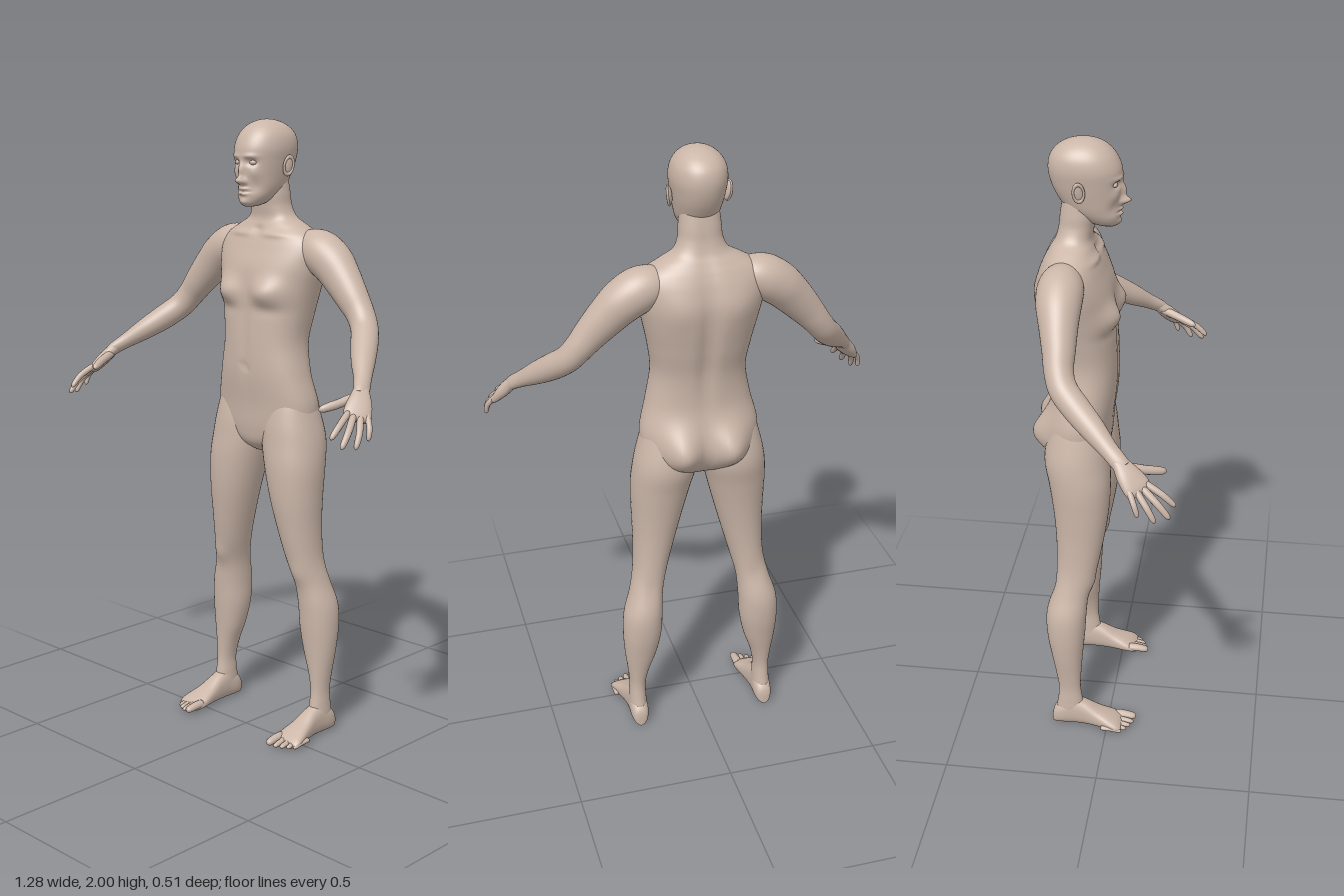
import * as THREE from 'three';

const skin = new THREE.MeshStandardMaterial({ color: 0xcbb6a8 });
skin.name = 'skin';

const X = new THREE.Vector3(1, 0, 0), Y = new THREE.Vector3(0, 1, 0), Z = new THREE.Vector3(0, 0, 1);

// Smooth in-between of the stations [x, y, z, a, b] at position s (0..1)
function sampleStations(st, s) {
  const f = s * (st.length - 1), i = Math.min(Math.floor(f), st.length - 2), t = f - i;
  const p = k => st[Math.min(Math.max(i + k, 0), st.length - 1)];
  return st[0].map((_, c) => {
    const [a, b, d, e] = [p(-1)[c], p(0)[c], p(1)[c], p(2)[c]];
    return b + 0.5 * t * (d - a + t * (2 * a - 5 * b + 4 * d - e + t * (3 * (b - d) + e - a)));
  });
}

// Skin over elliptical sections. With "v" the sections keep the fixed axes u and v,
// otherwise they turn with the path and u only gives the direction of radius a.
function sweep(st, { u, v, segs = 24, rows = 40, power = 2 }) {
  const pos = [], index = [], at = s => new THREE.Vector3(...sampleStations(st, s));
  const bend = c => Math.sign(c) * Math.abs(c) ** (2 / power);
  for (let i = 0; i <= rows; i++) {
    const s = i / rows, [x, y, z, a, b] = sampleStations(st, s);
    const t = at(Math.min(1, s + 0.01)).sub(at(Math.max(0, s - 0.01))).normalize();
    const U = u.clone();
    if (!v) U.addScaledVector(t, -u.dot(t)).normalize();
    const V = v ? v.clone() : t.clone().cross(U);
    for (let j = 0; j < segs; j++) {
      const k = j / segs * Math.PI * 2;
      const p = new THREE.Vector3(x, y, z).addScaledVector(U, a * bend(Math.cos(k))).addScaledVector(V, b * bend(Math.sin(k)));
      pos.push(p.x, p.y, p.z);
    }
  }
  for (let i = 0; i < rows; i++) for (let j = 0; j < segs; j++) {
    const a = i * segs + j, b = i * segs + (j + 1) % segs;
    index.push(a, b, a + segs, b, b + segs, a + segs);
  }
  // closed ends
  const n = (rows + 1) * segs, last = rows * segs;
  pos.push(...st[0].slice(0, 3), ...st[st.length - 1].slice(0, 3));
  for (let j = 0; j < segs; j++) {
    const k = (j + 1) % segs;
    index.push(n, k, j, n + 1, last + j, last + k);
  }
  const g = new THREE.BufferGeometry();
  g.setAttribute('position', new THREE.Float32BufferAttribute(pos, 3));
  g.setIndex(index);
  g.computeVertexNormals();
  return g;
}

// Upright form from rows [y, xInner, xOuter, zFront, zBack], listed upwards
const upright = (rows, side, opts) => sweep(
  rows.map(([y, x0, x1, f, b]) => [side * (x0 + x1) / 2, y, (f + b) / 2, (f - b) / 2, (x1 - x0) / 2]),
  { u: Z, v: X, ...opts });

// Push soft, mirrored bumps [x, y, dz, widthX, widthY, face] in or out; face is 1 front, -1 back
function sculpt(g, midZ, bumps) {
  const p = g.attributes.position;
  for (let i = 0; i < p.count; i++) {
    const x = Math.abs(p.getX(i)), y = p.getY(i), z = p.getZ(i);
    let d = 0;
    for (const [bx, by, dz, sx, sy, face] of bumps) {
      const w = THREE.MathUtils.smoothstep((z - midZ) * face, 0, 0.06);
      d += w * face * dz * Math.exp(-(((x - bx) / sx) ** 2) - ((y - by) / sy) ** 2);
    }
    p.setZ(i, z + d);
  }
  g.computeVertexNormals();
  return g;
}

// Finger or toe: a tapering tube with a round tip
function digit(points, r, u, flat = 1) {
  const c = new THREE.CatmullRomCurve3(points.map(p => new THREE.Vector3(...p)));
  const profile = [[0, 0.95], [0.25, 1], [0.5, 0.95], [0.72, 0.9], [0.88, 0.78], [0.96, 0.5], [1, 0.04]];
  return sweep(profile.map(([t, k]) => [...c.getPoint(t).toArray(), r * k, r * k * flat]), { u, segs: 12, rows: 18 });
}

export function createModel() {
  const model = new THREE.Group();
  model.name = 'figure';
  const add = (parent, name, g) => {
    const m = new THREE.Mesh(g, skin);
    m.name = name;
    parent.add(m);
    return m;
  };
  const group = name => {
    const g = new THREE.Group();
    g.name = name;
    model.add(g);
    return g;
  };

  // Torso and neck
  const torso = [
    [0.94, 0.03, -0.06, -0.13], [0.97, 0.10, -0.025, -0.175], [1.02, 0.175, -0.012, -0.2], [1.1, 0.19, -0.005, -0.205],
    [1.2, 0.167, 0.008, -0.195], [1.3, 0.15, 0.01, -0.2], [1.39, 0.161, 0.006, -0.22], [1.47, 0.178, 0.0, -0.235],
    [1.54, 0.194, -0.006, -0.24], [1.6, 0.2, -0.028, -0.228], [1.64, 0.178, -0.045, -0.213], [1.67, 0.13, -0.06, -0.197],
    [1.695, 0.086, -0.068, -0.183], [1.73, 0.068, -0.064, -0.173], [1.77, 0.064, -0.058, -0.168], [1.82, 0.058, -0.06, -0.16],
  ].map(([y, w, f, b]) => [y, -w, w, f, b]);
  add(model, 'torso', sculpt(upright(torso, 1, { segs: 72, rows: 110, power: 2.3 }), -0.11, [
    [0.085, 1.465, 0.032, 0.055, 0.042, 1],   // chest
    [0.085, 1.41, -0.006, 0.05, 0.018, 1],    // fold below the chest
    [0, 1.32, -0.006, 0.014, 0.14, 1],        // midline
    [0, 1.225, -0.008, 0.009, 0.009, 1],      // navel
    [0.07, 1.645, 0.007, 0.05, 0.01, 1],      // collar bone
    [0, 1.655, -0.01, 0.016, 0.014, 1],       // throat hollow
    [0, 1.42, -0.016, 0.025, 0.22, -1],       // spine groove
    [0.09, 1.54, 0.008, 0.05, 0.07, -1],      // shoulder blades
    [0.08, 1.05, 0.058, 0.062, 0.075, -1],    // buttocks
  ]));

  // Head with a sculpted face
  const head = group('head');
  const skull = [
    [1.732, 0.018, 0.0, -0.045], [1.742, 0.036, 0.008, -0.075], [1.762, 0.052, 0.014, -0.11], [1.79, 0.064, 0.014, -0.15],
    [1.83, 0.073, 0.017, -0.178], [1.87, 0.08, 0.021, -0.195], [1.91, 0.085, 0.02, -0.202], [1.945, 0.08, 0.006, -0.196],
    [1.97, 0.066, -0.014, -0.178], [1.987, 0.046, -0.038, -0.152], [1.997, 0.022, -0.066, -0.122], [2.0, 0.003, -0.09, -0.096],
  ].map(([y, w, f, b]) => [y, -w, w, f, b]);
  add(head, 'skull', sculpt(upright(skull, 1, { segs: 128, rows: 120, power: 2.15 }), -0.05, [
    [0, 1.812, 0.028, 0.011, 0.012, 1],       // nose tip
    [0, 1.84, 0.015, 0.009, 0.024, 1],        // nose bridge
    [0.012, 1.809, 0.009, 0.007, 0.007, 1],   // nostrils
    [0.032, 1.868, -0.014, 0.016, 0.011, 1],  // eye sockets
    [0.03, 1.887, 0.005, 0.024, 0.007, 1],    // brows
    [0.045, 1.835, 0.005, 0.018, 0.016, 1],   // cheek bones
    [0.042, 1.795, -0.005, 0.016, 0.018, 1],  // cheeks
    [0, 1.787, 0.009, 0.018, 0.005, 1],       // upper lip
    [0, 1.779, -0.003, 0.022, 0.002, 1],      // mouth line
    [0, 1.771, 0.009, 0.016, 0.005, 1],       // lower lip
    [0, 1.745, 0.008, 0.02, 0.011, 1],        // chin
  ]));
  for (const s of [1, -1]) {
    const eye = add(head, 'eyelid', new THREE.SphereGeometry(1, 20, 14));
    eye.scale.set(0.013, 0.008, 0.009);
    eye.position.set(s * 0.031, 1.868, 0.001);

    // Ear: a thin shell with a raised rim
    const ear = new THREE.Group();
    ear.name = 'ear';
    ear.position.set(s * 0.087, 1.858, -0.1);
    ear.rotation.set(-0.15, s * -0.35, s * -0.15);
    head.add(ear);
    add(ear, 'earShell', new THREE.SphereGeometry(1, 16, 12)).scale.set(0.007, 0.03, 0.017);
    const rim = add(ear, 'earRim', new THREE.TorusGeometry(0.016, 0.004, 8, 28).rotateY(Math.PI / 2));
    rim.scale.set(1, 1.7, 1);
    rim.position.x = s * 0.004;
  }

  for (const s of [1, -1]) {
    const sideName = s > 0 ? 'left' : 'right';
    const flip = ([x, ...rest]) => [s * x, ...rest];

    // Arm from inside the shoulder to the wrist
    const arm = group(sideName + 'Arm');
    add(arm, 'arm', sweep([
      [0.1, 1.605, -0.14, 0.03, 0.03], [0.14, 1.605, -0.14, 0.058, 0.056], [0.19, 1.593, -0.14, 0.07, 0.069],
      [0.24, 1.563, -0.138, 0.068, 0.068], [0.285, 1.52, -0.132, 0.059, 0.062], [0.335, 1.465, -0.124, 0.05, 0.053],
      [0.375, 1.417, -0.118, 0.044, 0.045], [0.408, 1.375, -0.1, 0.043, 0.042], [0.445, 1.335, -0.056, 0.042, 0.041],
      [0.485, 1.295, -0.004, 0.037, 0.035], [0.525, 1.257, 0.045, 0.028, 0.025], [0.55, 1.232, 0.078, 0.026, 0.02],
      [0.56, 1.218, 0.093, 0.024, 0.016],
    ].map(flip), { u: Z, segs: 36, rows: 72 }));

    // Hand
    const hand = group(sideName + 'Hand');
    const spread = new THREE.Vector3(s * 0.5, 0, -0.87);
    add(hand, 'palm', sweep([
      [0.545, 1.238, 0.07, 0.02, 0.016], [0.557, 1.22, 0.09, 0.028, 0.019], [0.57, 1.198, 0.11, 0.037, 0.02],
      [0.581, 1.177, 0.13, 0.042, 0.017], [0.588, 1.163, 0.142, 0.041, 0.013], [0.592, 1.155, 0.149, 0.034, 0.006],
    ].map(flip), { u: spread, segs: 28, rows: 24, power: 2.4 }));
    const fingers = [
      ['indexFinger', [0.569, 1.176, 0.16], [0.58, 1.147, 0.21], [0.58, 1.112, 0.248], 0.0105],
      ['middleFinger', [0.58, 1.17, 0.148], [0.603, 1.13, 0.197], [0.609, 1.086, 0.234], 0.011],
      ['ringFinger', [0.592, 1.168, 0.132], [0.62, 1.125, 0.168], [0.627, 1.081, 0.193], 0.0105],
      ['littleFinger', [0.603, 1.17, 0.115], [0.628, 1.135, 0.133], [0.633, 1.1, 0.144], 0.009],
      ['thumb', [0.55, 1.215, 0.095], [0.53, 1.198, 0.155], [0.502, 1.182, 0.213], 0.0145],
    ];
    for (const [name, a, b, c, r] of fingers) add(hand, name, digit([a, b, c].map(flip), r, spread));

    // Leg from inside the hip to the ankle
    const leg = group(sideName + 'Leg');
    add(leg, 'leg', sculpt(upright([
      [0.015, 0.197, 0.243, -0.1, -0.17], [0.06, 0.191, 0.249, -0.08, -0.174], [0.1, 0.192, 0.248, -0.085, -0.168],
      [0.15, 0.193, 0.246, -0.091, -0.165], [0.21, 0.18, 0.252, -0.089, -0.174], [0.28, 0.156, 0.261, -0.084, -0.188],
      [0.36, 0.139, 0.266, -0.077, -0.202], [0.44, 0.134, 0.261, -0.072, -0.204], [0.52, 0.128, 0.237, -0.064, -0.186],
      [0.6, 0.109, 0.221, -0.04, -0.173], [0.7, 0.082, 0.217, -0.02, -0.174], [0.8, 0.055, 0.219, -0.005, -0.183],
      [0.9, 0.029, 0.221, 0.0, -0.198], [0.98, 0.01, 0.214, -0.005, -0.213], [1.05, 0.012, 0.199, -0.012, -0.205],
      [1.13, 0.03, 0.175, -0.03, -0.18], [1.18, 0.06, 0.14, -0.06, -0.14],
    ], s, { segs: 40, rows: 90, power: 2.1 }), -0.11, [
      [0.175, 0.545, 0.009, 0.032, 0.035, 1], // knee cap
      [0.18, 0.54, -0.006, 0.03, 0.04, -1],   // hollow of the knee
    ]));

    // Foot with toes, rows [z, xInner, xOuter, top]
    const foot = group(sideName + 'Foot');
    add(foot, 'foot', sweep([
      [-0.187, 0.213, 0.231, 0.035], [-0.18, 0.198, 0.243, 0.06], [-0.155, 0.19, 0.25, 0.085], [-0.115, 0.19, 0.25, 0.105],
      [-0.075, 0.188, 0.252, 0.092], [-0.03, 0.182, 0.261, 0.066], [0.01, 0.175, 0.272, 0.047], [0.035, 0.175, 0.276, 0.034],
      [0.05, 0.18, 0.27, 0.022],
    ].map(([z, x0, x1, h]) => [s * (x0 + x1) / 2, h / 2, z, (x1 - x0) / 2, h / 2]), { u: X, v: Y, segs: 32, rows: 40, power: 2.4 }));
    const toes = [[0.19, 0.096, 0.015], [0.214, 0.09, 0.0105], [0.234, 0.081, 0.01], [0.252, 0.069, 0.0095], [0.268, 0.054, 0.009]];
    toes.forEach(([x, tip, r], i) => add(foot, 'toe' + (i + 1), digit(
      [[x, r + 0.008, tip - 0.07], [x, r + 0.006, tip - 0.035], [x + 0.001, r, tip]].map(flip), r, X, 0.9)));
  }
  return model;
}
